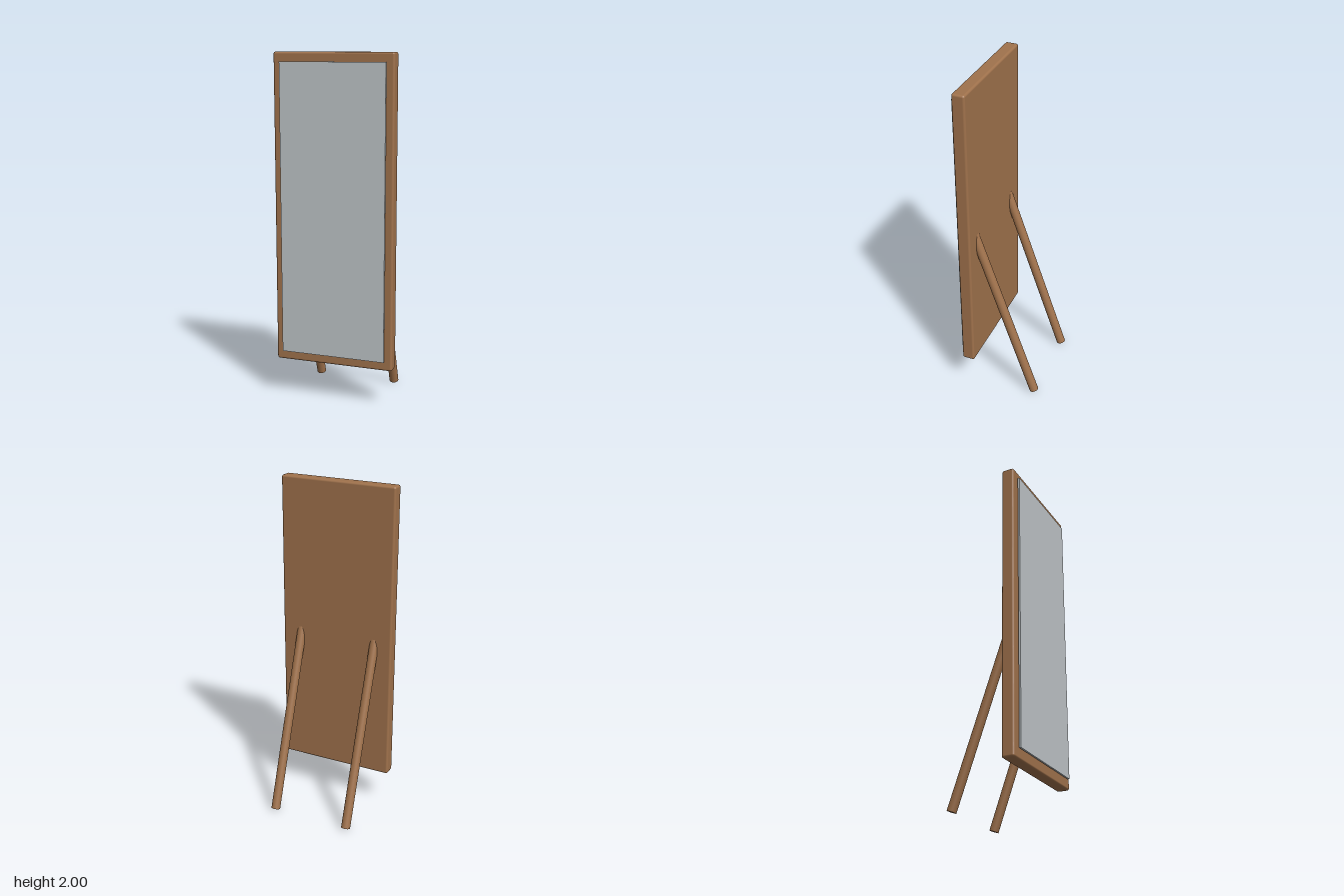
import * as THREE from 'three';
import { RoundedBoxGeometry } from 'three/addons/geometries/RoundedBoxGeometry.js';

export function createModel() {
  const wood = new THREE.MeshStandardMaterial({ color: 0xa0724c });
  wood.name = 'wood';
  const glass = new THREE.MeshStandardMaterial({ color: 0xbec4c7 });
  glass.name = 'mirrorGlass';

  const model = new THREE.Group();
  model.name = 'standingMirror';

  const add = (name, geometry, material, x, y, z) => {
    const mesh = new THREE.Mesh(geometry, material);
    mesh.name = name;
    mesh.position.set(x, y, z);
    model.add(mesh);
    return mesh;
  };

  // Solid frame board with softened edges
  add('frame', new RoundedBoxGeometry(0.704, 1.778, 0.075, 4, 0.012), wood, 0, 1.111, 0.177);

  // Mirror pane floating just ahead of the frame
  add('mirrorPane', new THREE.BoxGeometry(0.618, 1.67, 0.011), glass, 0, 1.112, 0.228);

  // Two round rear legs, their upper ends buried in the frame
  const foot = new THREE.Vector3(0, 0.009, -0.211);
  const top = new THREE.Vector3(0, 1.085, 0.164);
  const axis = top.clone().sub(foot);
  const middle = foot.clone().add(top).multiplyScalar(0.5);
  const legGeometry = new THREE.CylinderGeometry(0.027, 0.027, axis.length(), 32);
  for (const [name, side] of [['leftLeg', 1], ['rightLeg', -1]]) {
    const leg = add(name, legGeometry, wood, side * 0.239, middle.y, middle.z);
    leg.rotation.x = Math.atan2(axis.z, axis.y);
  }

  return model;
}
